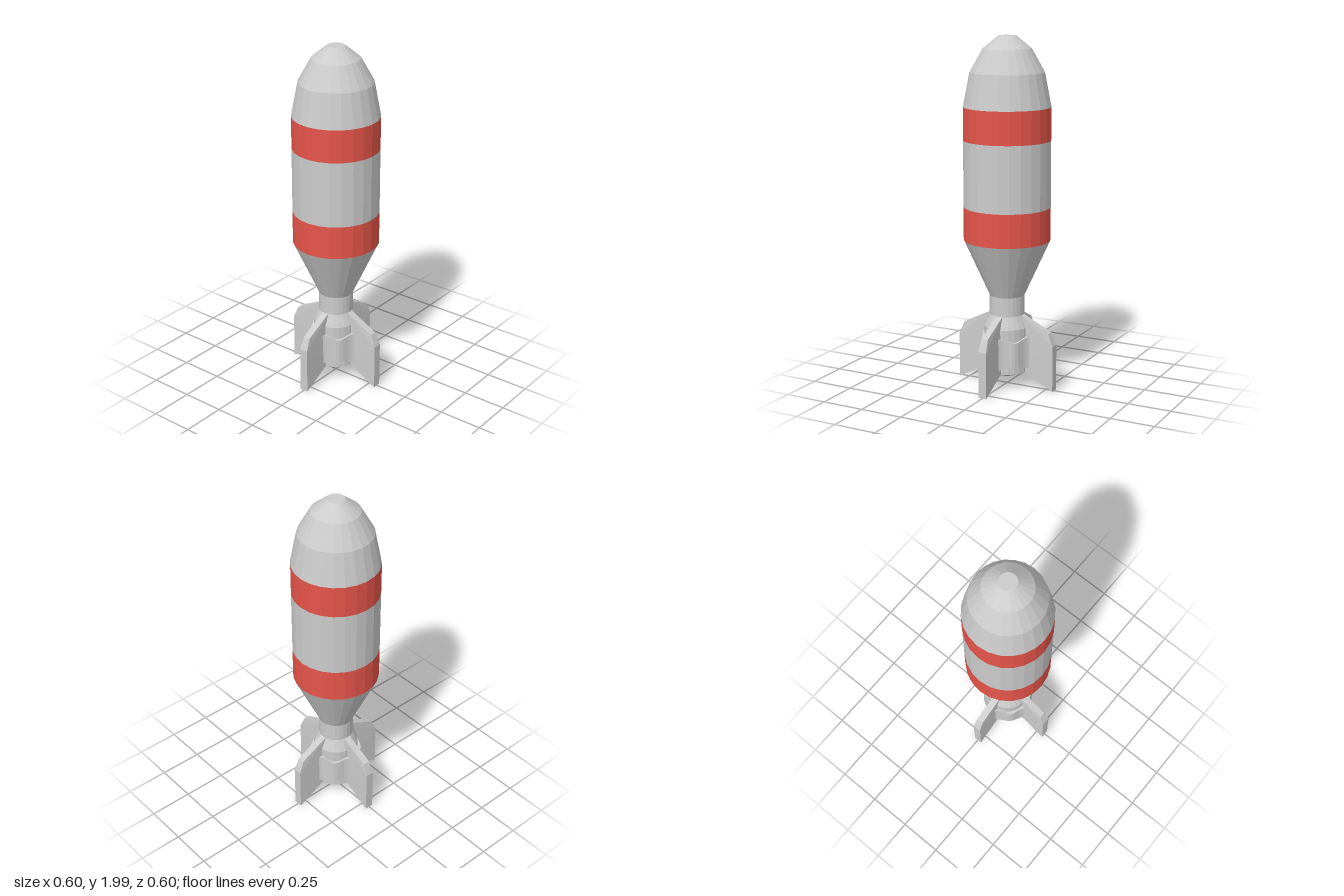
import * as THREE from 'three';

const SIDES = 24;
const grey = new THREE.MeshStandardMaterial({ color: 0xcccccc, flatShading: true });
const red = new THREE.MeshStandardMaterial({ color: 0xe6554a, flatShading: true });

// Revolved part from [radius, height] pairs, listed bottom to top
function turned(name, profile, material) {
  const points = profile.map(([r, y]) => new THREE.Vector2(r, y));
  const mesh = new THREE.Mesh(new THREE.LatheGeometry(points, SIDES), material);
  mesh.name = name;
  return mesh;
}

// Swept fin in the xy plane, slightly thinner along its top edge
function finGeometry() {
  const shape = new THREE.Shape([
    [0.07, 0.13], [0.3, 0.01], [0.3, 0.275], [0.27, 0.345], [0.1, 0.43], [0.07, 0.43],
  ].map(([x, y]) => new THREE.Vector2(x, y)));
  const geo = new THREE.ExtrudeGeometry(shape, { depth: 0.05, bevelEnabled: false });
  geo.translate(0, 0, -0.025);
  const p = geo.attributes.position;
  for (let i = 0; i < p.count; i++) if (p.getY(i) > 0.3) p.setZ(i, p.getZ(i) * 0.8);
  geo.computeVertexNormals();
  return geo;
}

// Plate between two fins: bulges over the tube and is notched above and below
function braceGeometry() {
  const geo = new THREE.BoxGeometry(0.19, 0.18, 0.02, 10, 1, 1);
  const p = geo.attributes.position;
  for (let i = 0; i < p.count; i++) {
    const t = Math.min(1, Math.abs(p.getX(i)) / 0.08);
    const bump = 0.5 + 0.5 * Math.cos(Math.PI * t);
    p.setY(i, p.getY(i) * (1 - 0.25 * bump) + 0.22);
    p.setZ(i, p.getZ(i) + 0.115 + 0.025 * bump);
  }
  geo.computeVertexNormals();
  return geo;
}

export function createModel() {
  const model = new THREE.Group();
  model.name = 'finnedShell';

  // Body, built in stacked sections
  model.add(
    turned('tailTube', [[0, 0.06], [0.05, 0.067], [0.13, 0.1], [0.13, 0.36], [0.1, 0.43], [0.1, 0.54]], grey),
    turned('tailCone', [[0.1, 0.54], [0.245, 0.86]], grey),
    turned('lowerBand', [[0.245, 0.86], [0.245, 1.05]], red),
    turned('middleBody', [[0.245, 1.05], [0.245, 1.425]], grey),
    turned('upperBand', [[0.245, 1.425], [0.245, 1.61]], red),
    turned('nose', [[0.245, 1.61], [0.208, 1.8], [0.135, 1.93], [0.05, 2], [0, 2]], grey),
  );

  // Four fins with a brace in each gap
  const fin = finGeometry();
  const brace = braceGeometry();
  for (let i = 0; i < 4; i++) {
    const finMesh = new THREE.Mesh(fin, grey);
    finMesh.name = 'fin' + (i + 1);
    finMesh.rotation.y = i * Math.PI / 2;
    const braceMesh = new THREE.Mesh(brace, grey);
    braceMesh.name = 'finBrace' + (i + 1);
    braceMesh.rotation.y = (i + 0.5) * Math.PI / 2;
    model.add(finMesh, braceMesh);
  }
  // Lift the fin tips onto the ground plane
  model.position.y = -0.005;
  const root = new THREE.Group();
  root.name = 'model';
  root.add(model);
  return root;
}
